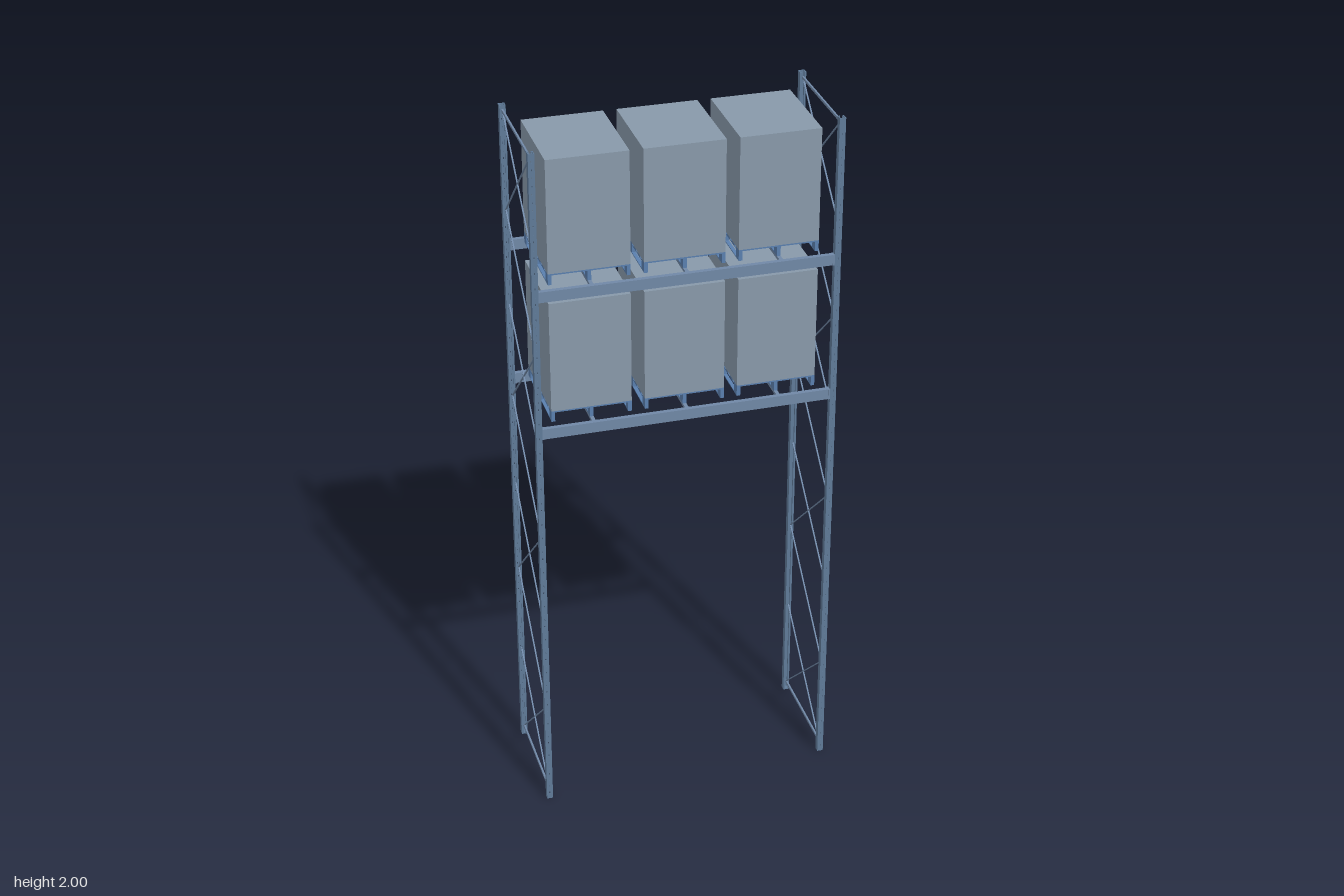
import * as THREE from 'three';

const paint = (color) => new THREE.MeshStandardMaterial({ color, flatShading: true });
const postPaint = paint(0x5f7a98);
const steelPaint = paint(0x7088a6);
const palletPaint = paint(0x5a7fae);
const loadPaint = paint(0x8899aa);

function box(parent, name, material, w, h, d, x, y, z) {
  const mesh = new THREE.Mesh(new THREE.BoxGeometry(w, h, d), material);
  mesh.name = name;
  mesh.position.set(x, y, z);
  parent.add(mesh);
  return mesh;
}

const POST_X = 0.4065, POST_Z = 0.159, POST = 0.017, HEIGHT = 2;

// Channel-section upright: slotted face outwards in z, open towards the frame
function createPost(sx, sz) {
  const post = new THREE.Group();
  post.name = 'upright';
  const wall = 0.0025, half = POST / 2;
  const face = new THREE.Shape();
  face.moveTo(-half, 0);
  face.lineTo(half, 0);
  face.lineTo(half, HEIGHT);
  face.lineTo(-half, HEIGHT);
  face.closePath();
  for (let y = 0.02; y < HEIGHT - 0.01; y += 0.022) {
    const slot = new THREE.Path();
    slot.moveTo(-0.001, y - 0.003);
    slot.lineTo(-0.001, y + 0.003);
    slot.lineTo(0.001, y + 0.003);
    slot.lineTo(0.001, y - 0.003);
    slot.closePath();
    face.holes.push(slot);
  }
  const plate = new THREE.Mesh(
    new THREE.ExtrudeGeometry(face, { depth: wall, bevelEnabled: false }), postPaint);
  plate.name = 'slottedFace';
  plate.position.z = half - wall;
  post.add(plate);
  for (const s of [-1, 1]) {
    box(post, 'flange', postPaint, wall, HEIGHT, POST - wall, s * (half - wall / 2), HEIGHT / 2, -wall / 2);
    box(post, 'lip', postPaint, 0.003, HEIGHT, wall, s * (half - wall - 0.0015), HEIGHT / 2, -half + wall / 2);
  }
  box(post, 'basePlate', postPaint, POST, 0.003, POST, 0, 0.0015, 0);
  post.position.set(sx * POST_X, 0, sz * POST_Z);
  if (sz < 0) post.rotation.y = Math.PI;
  return post;
}

// Thin bar between two heights, from the front post to the back post
function addBrace(parent, x, yFront, yBack) {
  const dz = 0.304, dy = yBack - yFront;
  const bar = box(parent, 'diagonalBrace', steelPaint, 0.004, 0.0025, Math.hypot(dz, dy), x, (yFront + yBack) / 2, 0);
  bar.rotation.x = Math.atan2(dy, dz);
}

function createEndFrame(sx) {
  const frame = new THREE.Group();
  frame.name = sx > 0 ? 'leftEndFrame' : 'rightEndFrame';
  for (const sz of [-1, 1]) frame.add(createPost(sx, sz));
  for (const y of [0.03, 1.985]) {
    box(frame, 'horizontalBrace', steelPaint, 0.005, 0.007, 0.306, sx * POST_X, y, 0);
  }
  // Crossed panels alternate with single-diagonal panels
  const step = (1.985 - 0.03) / 7;
  for (let i = 0; i < 7; i++) {
    const low = 0.03 + i * step;
    addBrace(frame, sx * POST_X, low, low + step);
    if (i % 2 === 0) addBrace(frame, sx * POST_X, low + step, low);
  }
  return frame;
}

// Pallet standing on local y = 0 with its load on top
function createPalletLoad(x) {
  const unit = new THREE.Group();
  unit.name = 'palletLoad';
  const w = 0.219, d = 0.264;
  const pallet = new THREE.Group();
  pallet.name = 'pallet';
  unit.add(pallet);
  for (const i of [-1, 0, 1]) {
    const px = i * 0.1045;
    box(pallet, 'skid', palletPaint, 0.01, 0.003, d, px, 0.0015, 0);
    box(pallet, 'crossBoard', palletPaint, 0.01, 0.003, d, px, 0.0255, 0);
    for (const j of [-1, 0, 1]) box(pallet, 'block', palletPaint, 0.01, 0.021, 0.024, px, 0.0135, j * 0.12);
  }
  for (let k = -3; k <= 3; k++) box(pallet, 'deckBoard', palletPaint, w, 0.004, 0.024, 0, 0.029, k * 0.04);
  box(unit, 'load', loadPaint, w, 0.317, d, 0, 0.031 + 0.317 / 2, 0);
  unit.position.x = x;
  return unit;
}

function createLevel(top) {
  const level = new THREE.Group();
  level.name = 'shelfLevel';
  const h = 0.03;
  for (const sz of [-1, 1]) {
    box(level, 'beam', steelPaint, 0.796, h, 0.013, 0, -h / 2, sz * 0.1595);
    // End connectors against the inner side of the uprights
    for (const sx of [-1, 1]) {
      box(level, 'beamConnector', steelPaint, 0.005, h, POST, sx * 0.3955, -h / 2, sz * POST_Z);
    }
  }
  for (const x of [-0.255, 0, 0.255]) {
    box(level, 'supportBar', steelPaint, 0.01, 0.008, 0.308, x, -0.004, 0);
    level.add(createPalletLoad(x));
  }
  level.position.y = top;
  return level;
}

export function createModel() {
  const model = new THREE.Group();
  model.name = 'palletRack';
  for (const sx of [-1, 1]) model.add(createEndFrame(sx));
  for (const top of [1.213, 1.615]) model.add(createLevel(top));
  return model;
}
